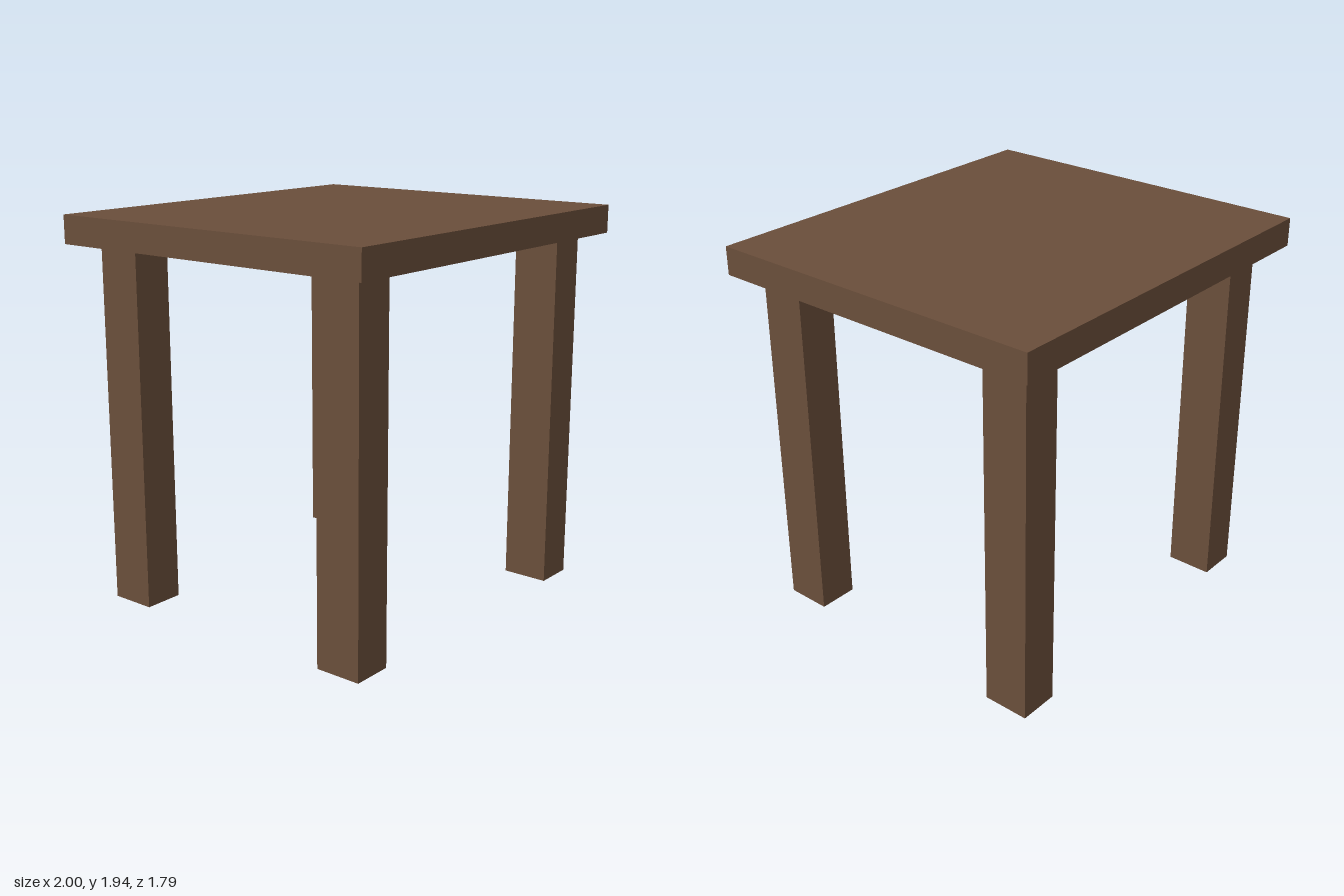
import * as THREE from 'three';

export function createModel() {
  const group = new THREE.Group();
  const wood = new THREE.MeshStandardMaterial({ color: 0x6b4f3b });
  wood.name = 'brown wood';

  // Box given by its centre in plan, its underside and its size
  function addBox(name, x, bottom, z, w, h, d) {
    const mesh = new THREE.Mesh(new THREE.BoxGeometry(w, h, d), wood);
    mesh.name = name;
    mesh.position.set(x, bottom + h / 2, z);
    group.add(mesh);
  }

  const legHeight = 1.8;

  // Slab top
  addBox('tableTop', 0, legHeight, 0, 2, 0.14, 1.79);

  // Four square-cut legs, the front left one set slightly forward
  const legs = [
    ['frontLeftLeg', 0.768, 0.685],
    ['frontRightLeg', -0.771, 0.665],
    ['backLeftLeg', 0.768, -0.666],
    ['backRightLeg', -0.771, -0.666],
  ];
  for (const [name, x, z] of legs) addBox(name, x, 0, z, 0.203, legHeight, 0.234);

  return group;
}
